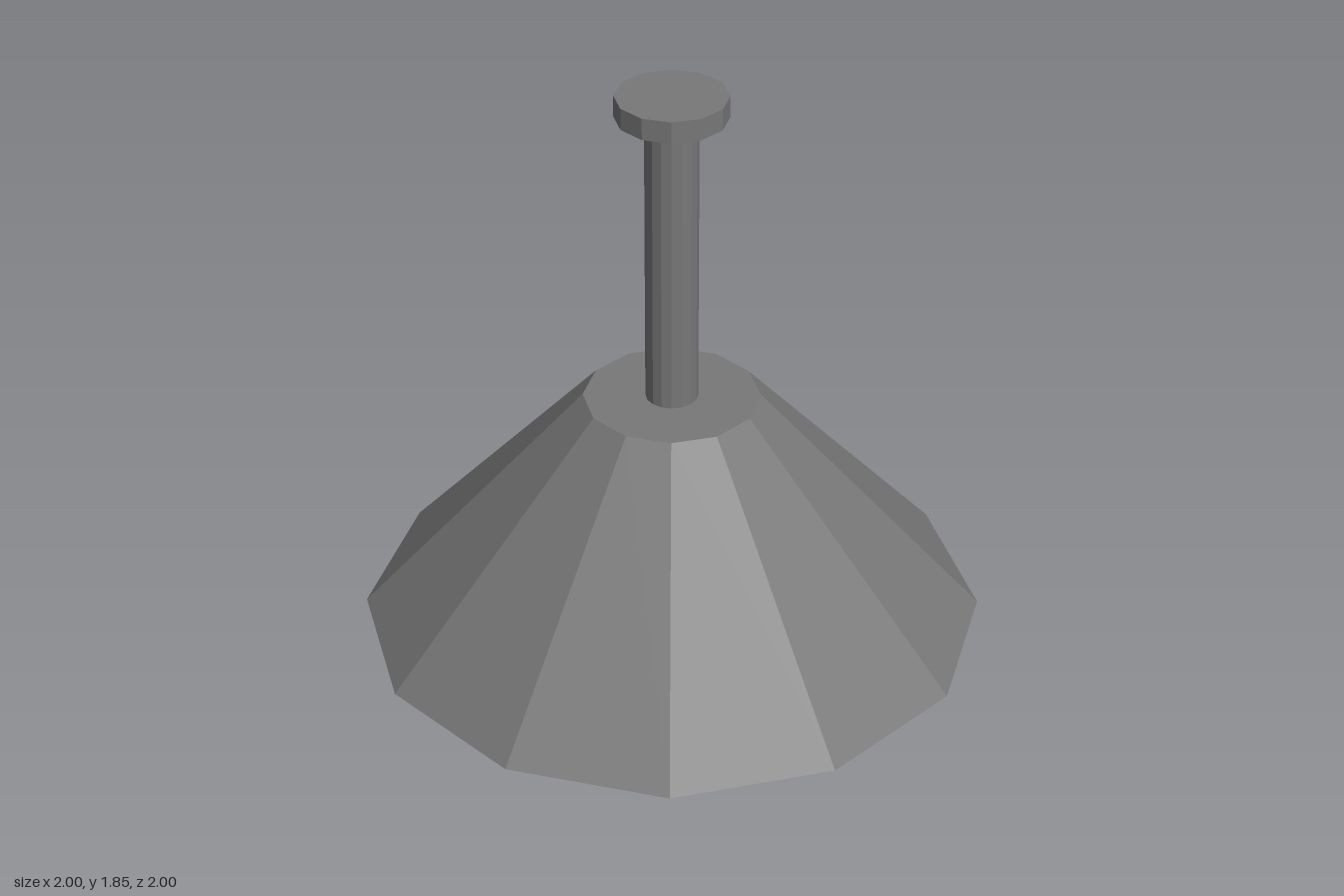
import * as THREE from 'three';

const SIDES = 12;
const ROD_SIDES = 16;

export function createModel() {
  const group = new THREE.Group();
  const material = new THREE.MeshStandardMaterial({ color: 0x787878, flatShading: true });

  const add = (name, geometry, y = 0) => {
    const mesh = new THREE.Mesh(geometry, material);
    mesh.name = name;
    mesh.position.y = y;
    group.add(mesh);
  };
  const cylinder = (name, radius, bottom, top, sides) =>
    add(name, new THREE.CylinderGeometry(radius, radius, top - bottom, sides), (bottom + top) / 2);

  // Hollow faceted shade: inner ceiling, inner wall, rim, outer wall, flat top
  const profile = [[0, 0.75], [0.255, 0.75], [0.93, 0], [1, 0], [0.28, 0.8], [0, 0.8]]
    .map(([r, y]) => new THREE.Vector2(r, y));
  add('shade', new THREE.LatheGeometry(profile, SIDES));

  // Rod and ceiling mount
  cylinder('rod', 0.083, 0.8, 1.775, ROD_SIDES);
  cylinder('ceilingMount', 0.174, 1.775, 1.845, SIDES);

  // Slightly flattened bulb, kept below the shade's top
  const bulb = new THREE.SphereGeometry(0.19, SIDES, 8).scale(1, 0.74, 1);
  add('bulb', bulb, 0.655);

  return group;
}
